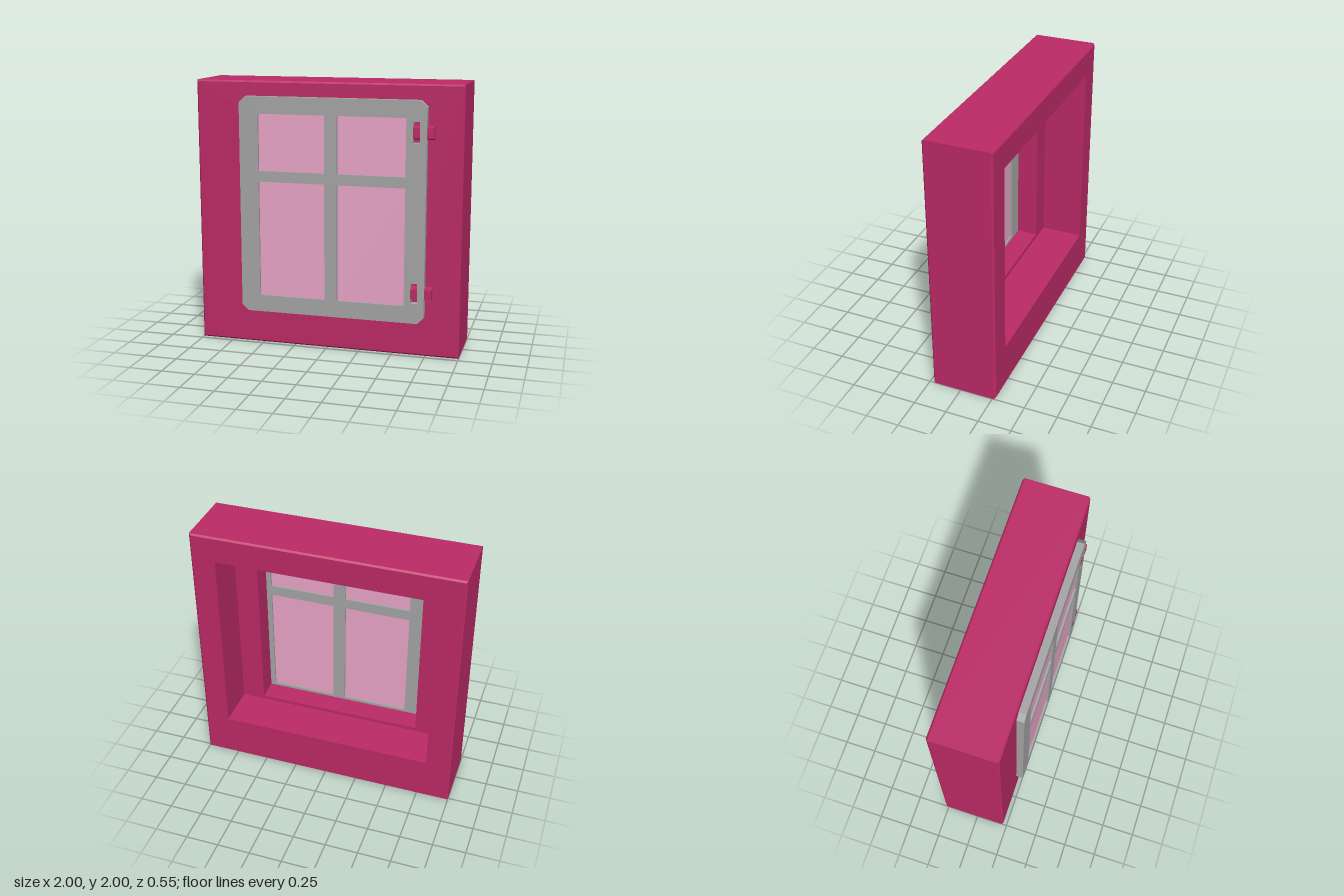
import * as THREE from 'three';

const crimson = new THREE.MeshStandardMaterial({ color: 0xbc2a66 });
const grey = new THREE.MeshStandardMaterial({ color: 0xa5a5a5 });
const pink = new THREE.MeshStandardMaterial({ color: 0xeaa5c8 });

const FACE = 0.22, FRONT = 0.275, BACK = -0.275;

// Closed loop of rectangles [x0, x1, y0, y1, z], each joined to the next
function loftRects(rects) {
  const pos = [];
  const rings = rects.map(([x0, x1, y0, y1, z]) => [[x0, y0, z], [x1, y0, z], [x1, y1, z], [x0, y1, z]]);
  rings.forEach((a, i) => {
    const b = rings[(i + 1) % rings.length];
    for (let j = 0; j < 4; j++) {
      const k = (j + 1) % 4;
      pos.push(...a[j], ...b[j], ...b[k], ...a[j], ...b[k], ...a[k]);
    }
  });
  const g = new THREE.BufferGeometry();
  g.setAttribute('position', new THREE.Float32BufferAttribute(pos, 3));
  g.computeVertexNormals();
  return g;
}

function polygon(points, Type = THREE.Shape) {
  return new Type(points.map(([x, y]) => new THREE.Vector2(x, y)));
}

function rectHole(x0, x1, y0, y1) {
  return polygon([[x0, y0], [x0, y1], [x1, y1], [x1, y0]], THREE.Path);
}

function add(parent, name, geometry, material) {
  const mesh = new THREE.Mesh(geometry, material);
  mesh.name = name;
  parent.add(mesh);
  return mesh;
}

export function createModel() {
  const model = new THREE.Group();
  model.name = 'window';

  // Thick wall block: bevelled outer edges and a stepped opening
  const b = 0.012, step = 0.055;
  const inner = [-0.64, 0.635, 0.37, 1.78], recess = [-0.812, 0.812, 0.34, 1.8];
  add(model, 'wall', loftRects([
    [...inner, FACE],
    [-1 + b, 1 - b, b, 2 - b, FACE],
    [-1, 1, 0, 2, FACE - b],
    [-1, 1, 0, 2, BACK + b],
    [-1 + b, 1 - b, b, 2 - b, BACK],
    [...recess, BACK],
    [...recess, step],
    [...inner, step],
  ]), crimson);

  // Window sash with clipped corners, four lights and two hinge slots
  const x0 = -0.652, x1 = 0.745, y0 = 0.262, y1 = 1.89, c = 0.047;
  const sash = polygon([
    [x0 + c, y0], [x1 - c, y0], [x1, y0 + c], [x1, y1 - c],
    [x1 - c, y1], [x0 + c, y1], [x0, y1 - c], [x0, y0 + c],
  ]);
  const lights = [];
  for (const [a, d] of [[-0.507, -0.003], [0.092, 0.597]])
    for (const [e, f] of [[0.39, 1.262], [1.342, 1.765]]) lights.push([a, d, e, f]);
  const hingeHeights = [0.485, 1.66];
  for (const l of lights) sash.holes.push(rectHole(...l));
  for (const y of hingeHeights) sash.holes.push(rectHole(0.645, 0.695, y - 0.073, y + 0.08));
  const sashGeo = new THREE.ExtrudeGeometry(sash, { depth: FRONT - FACE, bevelEnabled: false });
  add(model, 'sash', sashGeo.translate(0, 0, FACE), grey);

  // Glass panes set back from both sash faces
  for (const [a, d, e, f] of lights) {
    add(model, 'pane', new THREE.BoxGeometry(d - a, f - e, 0.02), pink)
      .position.set((a + d) / 2, (e + f) / 2, (FACE + FRONT) / 2);
  }

  // Tapered hinge lugs: one in the sash slot, one on the wall beside it
  const depth = FRONT - FACE;
  const lug = polygon([[0, -0.05], [0, 0.05], [-depth, 0.037], [-depth, -0.037]]);
  const lugGeo = new THREE.ExtrudeGeometry(lug, { depth: 0.05, bevelEnabled: false }).rotateY(Math.PI / 2);
  for (const y of hingeHeights)
    for (const [name, x] of [['sashHinge', 0.645], ['wallHinge', 0.747]])
      add(model, name, lugGeo, crimson).position.set(x, y, FACE);

  return model;
}
